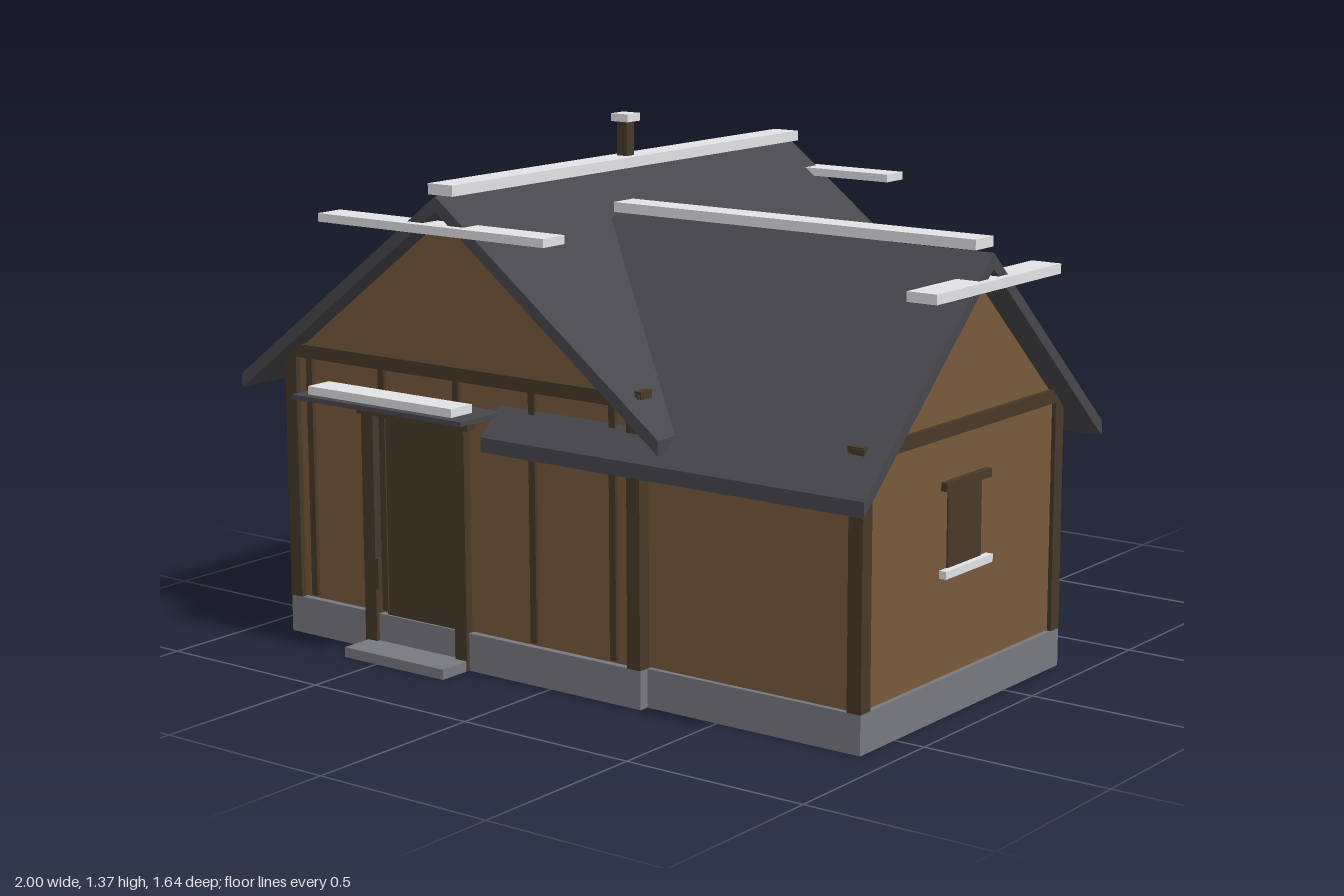
import * as THREE from 'three';

const mat = (name, color, side = THREE.FrontSide) => {
  const m = new THREE.MeshStandardMaterial({ color, side });
  m.name = name;
  return m;
};

export function createModel() {
  const wall = mat('ochre wall', 0x785b3b);
  const timber = mat('dark timber', 0x463929);
  const stone = mat('grey foundation', 0x787980, THREE.DoubleSide);
  const slate = mat('slate roof', 0x48474c);
  const trim = mat('pale trim', 0xe3e3e7, THREE.DoubleSide);

  const house = new THREE.Group();
  house.name = 'house';

  // Box given by its limits on each axis
  const box = (name, m, x0, x1, y0, y1, z0, z1) => {
    const mesh = new THREE.Mesh(new THREE.BoxGeometry(x1 - x0, y1 - y0, z1 - z0), m);
    mesh.position.set((x0 + x1) / 2, (y0 + y1) / 2, (z0 + z1) / 2);
    mesh.name = name;
    house.add(mesh);
    return mesh;
  };

  // Box without its underside
  const shell = (...args) => {
    const { geometry } = box(...args);
    geometry.setIndex(Array.from(geometry.index.array).filter((_, i) => i < 18 || i >= 24));
    geometry.clearGroups();
  };

  // Gable cross-section extruded along z, or along x when alongX is set
  const prism = (name, m, pts, from, to, centre, alongX) => {
    const shape = new THREE.Shape(pts.map(p => new THREE.Vector2(p[0], p[1])));
    const geo = new THREE.ExtrudeGeometry(shape, { depth: to - from, bevelEnabled: false });
    const mesh = new THREE.Mesh(geo, m);
    if (alongX) {
      mesh.rotation.y = Math.PI / 2;
      mesh.position.set(from, 0, centre);
    } else {
      mesh.position.set(centre, 0, from);
    }
    mesh.name = name;
    house.add(mesh);
  };
  const wallSection = (half, eave, apex) =>
    [[-half, 0.102], [half, 0.102], [half, eave], [0, apex], [-half, eave]];
  const roofSection = (half, eave, ridge, t) =>
    [[-half, eave - t], [0, ridge - t], [half, eave - t], [half, eave], [0, ridge], [-half, eave]];

  const CX = -0.305; // main ridge line
  const CZ = 0.19;   // wing ridge line

  // Hollow foundations
  shell('mainFoundation', stone, -0.897, 0.288, 0, 0.1, -0.735, 0.675);
  shell('wingFoundation', stone, -0.1, 0.917, 0, 0.1, -0.268, 0.648);

  // Walls with gables
  prism('mainWalls', wall, wallSection(0.585, 0.75, 1.192), -0.725, 0.662, CX, false);
  prism('wingWalls', wall, wallSection(0.45, 0.69, 1.102), -0.1, 0.907, CZ, true);

  // Roofs
  prism('mainRoof', slate, roofSection(0.695, 0.702, 1.23, 0.038), -0.795, 0.735, CX, false);
  prism('wingRoof', slate, roofSection(0.5475, 0.638, 1.14, 0.038), -0.165, 0.98, CZ, true);

  // Ridge caps and gable cross bars
  shell('mainRidgeCap', trim, CX - 0.04, CX + 0.04, 1.23, 1.258, -0.778, 0.715);
  shell('wingRidgeCap', trim, -0.14, 0.953, 1.148, 1.174, CZ - 0.04, CZ + 0.04);
  shell('frontGableBar', trim, -0.68, 0.065, 1.138, 1.16, 0.68, 0.762);
  shell('backGableBar', trim, -0.68, 0.065, 1.138, 1.16, -0.822, -0.742);
  shell('wingGableBar', trim, 0.917, 1, 1.055, 1.08, -0.095, 0.473);

  // Chimney pipe
  box('chimney', timber, CX - 0.016, CX + 0.016, 1.25, 1.355, -0.046, -0.014);
  shell('chimneyCap', trim, CX - 0.028, CX + 0.028, 1.35, 1.371, -0.057, -0.003);

  // Roof pegs
  for (const x of [-0.89, 0.28]) {
    for (const z of [-0.715, 0.65]) {
      box('roofPeg', timber, x - 0.011, x + 0.011, 0.778, 0.797, z - 0.022, z + 0.022);
    }
  }
  for (const z of [-0.265, 0.634]) {
    box('roofPeg', timber, 0.872, 0.917, 0.718, 0.738, z - 0.011, z + 0.011);
  }

  // Corner posts
  for (const x of [-0.897, 0.248]) {
    box('frontPost', timber, x, x + 0.04, 0.1, 0.77, 0.637, 0.677);
    box('backPost', timber, x, x + 0.04, 0.1, 0.75, -0.735, -0.695);
  }
  for (const z of [-0.268, 0.608]) {
    box('wingPost', timber, 0.878, 0.918, 0.1, 0.705, z, z + 0.04);
  }

  // Beams below the gables
  box('frontBeam', timber, -0.897, 0.288, 0.755, 0.79, 0.64, 0.68);
  box('wingBeam', timber, 0.885, 0.92, 0.7, 0.735, -0.268, 0.648);

  // Front wall studs
  for (const x of [-0.815, -0.56, -0.305, -0.055, 0.2]) {
    box('stud', timber, x - 0.01, x + 0.01, 0.11, 0.757, 0.65, 0.672);
  }

  // Door, frame, step and canopy
  box('door', timber, -0.555, -0.31, 0.1, 0.63, 0.66, 0.668);
  box('doorHandle', timber, -0.58, -0.57, 0.17, 0.25, 0.67, 0.686);
  box('doorPost', timber, -0.62, -0.58, 0, 0.637, 0.65, 0.685);
  box('doorPost', timber, -0.308, -0.268, 0, 0.637, 0.65, 0.685);
  box('doorLintel', timber, -0.63, -0.25, 0.633, 0.68, 0.65, 0.69);
  shell('doorStep', stone, -0.61, -0.27, 0, 0.027, 0.67, 0.776);
  box('canopy', slate, -0.73, -0.155, 0.68, 0.692, 0.66, 0.822);
  shell('canopyTrim', trim, -0.687, -0.198, 0.695, 0.717, 0.73, 0.808);

  // Wing window
  box('wingWindow', timber, 0.9, 0.911, 0.365, 0.575, 0.112, 0.265);
  box('wingWindowHead', timber, 0.9, 0.924, 0.568, 0.59, 0.087, 0.293);
  shell('wingWindowSill', trim, 0.9, 0.927, 0.352, 0.372, 0.081, 0.297);

  // Back window
  box('backWindow', timber, -0.215, -0.062, 0.39, 0.605, -0.729, -0.72);
  box('backWindowHead', timber, -0.24, -0.037, 0.598, 0.62, -0.742, -0.72);
  shell('backWindowSill', trim, -0.247, -0.03, 0.379, 0.399, -0.745, -0.72);

  return house;
}
